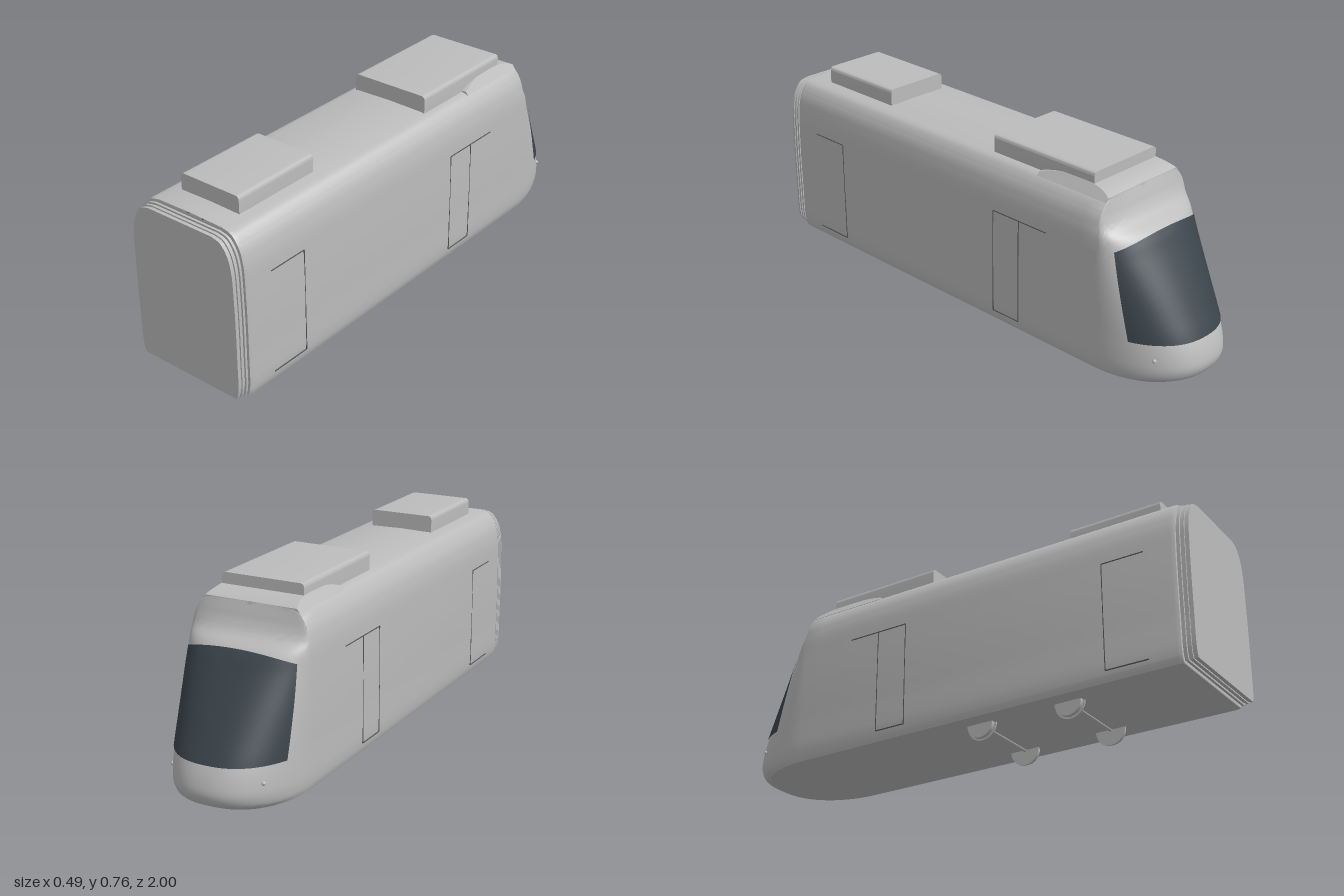
import * as THREE from 'three';
import { toCreasedNormals } from 'three/addons/utils/BufferGeometryUtils.js';

const mat = (name, color) => {
  const m = new THREE.MeshStandardMaterial({ color });
  m.name = name;
  return m;
};

// Body profile, bottom to top: half width, height, z of the nose tip
const Z0 = -0.67, TAIL = 0.95;
const PROFILE = new THREE.CatmullRomCurve3([
  [0.229, 0.06, -0.95], [0.236, 0.08, -0.983], [0.24, 0.115, -1.0], [0.241, 0.16, -0.995],
  [0.241, 0.22, -0.973], [0.242, 0.3, -0.93], [0.242, 0.4, -0.872], [0.24, 0.5, -0.81],
  [0.238, 0.56, -0.77], [0.233, 0.6, -0.715], [0.224, 0.635, -0.693], [0.208, 0.665, -0.682],
  [0.187, 0.687, -0.674], [0.15, 0.697, -0.67],
].map(p => new THREE.Vector3(...p))).getPoints(52);

function profileAt(y) {
  let i = 0;
  while (i < PROFILE.length - 2 && PROFILE[i + 1].y < y) i++;
  const a = PROFILE[i], b = PROFILE[i + 1];
  return a.clone().lerp(b, THREE.MathUtils.clamp((y - a.y) / (b.y - a.y), 0, 1));
}

// Point on the rounded nose at angle t, from 0 (left side) to PI (right side)
function nosePoint(p, t, off = 0) {
  const c = Math.cos(t);
  return new THREE.Vector3(
    (p.x + off) * Math.sign(c) * Math.abs(c) ** 0.85, p.y, Z0 - (Z0 - p.z + off) * Math.sin(t));
}

// Surface from a grid of points, rows upward and columns from left to right around the nose
function gridSurface(rows) {
  const n = rows[0].length, index = [];
  for (let i = 0; i < rows.length - 1; i++) {
    for (let j = 0; j < n - 1; j++) {
      const a = i * n + j, d = a + n;
      index.push(a, a + 1, d + 1, a, d + 1, d);
    }
  }
  const g = new THREE.BufferGeometry().setFromPoints(rows.flat());
  g.setIndex(index);
  g.computeVertexNormals();
  return g;
}

// Full outline of the body at one height
function outline(p) {
  const side = (s, z, inset = 0) => new THREE.Vector3(s * Math.max(p.x - inset, 0), p.y, z);
  const pts = [side(1, TAIL, 0.006), side(1, TAIL - 0.015), side(1, -0.6)];
  for (let j = 0; j <= 40; j++) pts.push(nosePoint(p, Math.PI * j / 40));
  pts.push(side(-1, -0.6), side(-1, TAIL - 0.015), side(-1, TAIL, 0.006));
  return pts;
}

// Upright cross-section, drawn in by the given inset
function sectionShape(inset) {
  const pts = PROFILE.map(p => new THREE.Vector2(
    p.x * (1 - inset / 0.24), 0.38 + (p.y - 0.38) * (1 - inset / 0.32)));
  return new THREE.Shape([...pts, ...pts.map(p => new THREE.Vector2(-p.x, p.y)).reverse()]);
}

const extrude = (shape, depth) =>
  new THREE.ExtrudeGeometry(shape, { depth, bevelEnabled: false, curveSegments: 6 });

export function createModel() {
  const model = new THREE.Group();
  const grey = mat('bodyGrey', 0xbcbcbc);
  const glass = mat('windscreenGlass', 0x3a444b);
  const dark = mat('doorSeamGrey', 0x5a5a5a);
  const add = (name, geometry, material = grey, x = 0, y = 0, z = 0) => {
    const m = new THREE.Mesh(geometry, material);
    m.name = name;
    m.position.set(x, y, z);
    model.add(m);
    return m;
  };

  // Body shell with roof, floor and rear wall
  const rows = PROFILE.map(outline);
  rows.push(outline(new THREE.Vector3(0, 0.7, Z0)));
  add('bodyShell', toCreasedNormals(gridSurface(rows), 0.55));
  const floor = new THREE.ShapeGeometry(
    new THREE.Shape(rows[0].map(p => new THREE.Vector2(p.x, p.z))));
  add('floor', floor.rotateX(Math.PI / 2), grey, 0, 0.06, 0);
  add('rearWall', new THREE.ShapeGeometry(sectionShape(0.004)), grey, 0, 0, TAIL);

  // Windscreen, just proud of the nose
  const screen = [];
  for (let i = 0; i <= 20; i++) {
    const row = [];
    for (let j = 0; j <= 32; j++) {
      const u = j / 32;
      const y = 0.218 + (0.312 + 0.032 * Math.sin(Math.PI * u)) * i / 20;
      const p = profileAt(y);
      const back = 0.06 + 0.08 * (0.53 - y) / 0.31;
      const edge = Math.asin(back / (Z0 - p.z));
      row.push(nosePoint(p, edge + (Math.PI - 2 * edge) * u, 0.004));
    }
    screen.push(row);
  }
  add('windscreen', gridSurface(screen), glass);

  // Pleated gangway at the rear
  add('gangwayCore', toCreasedNormals(extrude(sectionShape(0.014), 0.047), 0.6), grey, 0, 0, TAIL);
  for (let i = 0; i < 3; i++) {
    const rib = toCreasedNormals(extrude(sectionShape(0.007 + i * 0.002), 0.009), 0.6);
    add('gangwayRib', rib, grey, 0, 0, 0.957 + i * 0.017);
  }

  // Roof equipment boxes with rounded upper edges
  const roofBox = (name, w, z0, z1) => {
    const s = new THREE.Shape(), r = 0.016, top = 0.763;
    s.moveTo(-w, 0.69);
    s.lineTo(w, 0.69);
    s.lineTo(w, top - r);
    s.quadraticCurveTo(w, top, w - r, top);
    s.lineTo(-w + r, top);
    s.quadraticCurveTo(-w, top, -w, top - r);
    add(name, toCreasedNormals(extrude(s, z1 - z0), 0.6), grey, 0, 0, z0);
  };
  roofBox('frontRoofUnit', 0.163, -0.59, -0.11);
  roofBox('rearRoofUnit', 0.132, 0.485, 0.855);

  // Fairing around the front roof unit: a side profile with sloping flanks
  const fs = new THREE.Shape();
  fs.moveTo(0.67, 0.685);
  fs.lineTo(0.67, 0.699);
  fs.quadraticCurveTo(0.63, 0.723, 0.55, 0.724);
  fs.lineTo(0.45, 0.722);
  fs.quadraticCurveTo(0.4, 0.716, 0.35, 0.698);
  fs.lineTo(0.35, 0.685);
  const fairing = extrude(fs, 2).translate(0, 0, -1).rotateY(Math.PI / 2);
  const pos = fairing.attributes.position;
  for (let i = 0; i < pos.count; i++) {
    const k = (pos.getY(i) - 0.685) / 0.04;
    pos.setX(i, Math.sign(pos.getX(i)) * (0.192 - 0.03 * k));
  }
  add('roofFairing', toCreasedNormals(fairing, 0.5));

  // Door seams and marker lamps, mirrored on both sides
  const lamp = profileAt(0.16);
  for (const s of [1, -1]) {
    const seam = (z0, z1, y0, y1) => add('doorSeam',
      new THREE.BoxGeometry(0.005, Math.max(y1 - y0, 0.003), Math.max(z1 - z0, 0.003)),
      dark, s * 0.24, (y0 + y1) / 2, (z0 + z1) / 2);
    for (const z of [0.665, -0.18, -0.308]) seam(z, z, 0.1, 0.51);
    for (const [a, b] of [[0.665, 0.83], [-0.44, -0.18]]) seam(a, b, 0.51, 0.51);
    for (const [a, b] of [[0.665, 0.83], [-0.308, -0.18]]) seam(a, b, 0.1, 0.1);
    const p = nosePoint(lamp, s > 0 ? 0.78 : Math.PI - 0.78);
    add('markerLamp', new THREE.SphereGeometry(0.008, 12, 8), grey, p.x, p.y, p.z);
  }

  // Wheels with inner flanges, joined by axles
  for (const z of [0.473, 0.107]) {
    const disc = (name, r, w, x) =>
      add(name, new THREE.CylinderGeometry(r, r, w, 32).rotateZ(Math.PI / 2), grey, x, 0.06, z);
    for (const s of [1, -1]) {
      disc('wheelTread', 0.053, 0.022, s * 0.155);
      disc('wheelFlange', 0.06, 0.006, s * 0.147);
    }
    disc('axle', 0.007, 0.29, 0);
  }

  return model;
}
